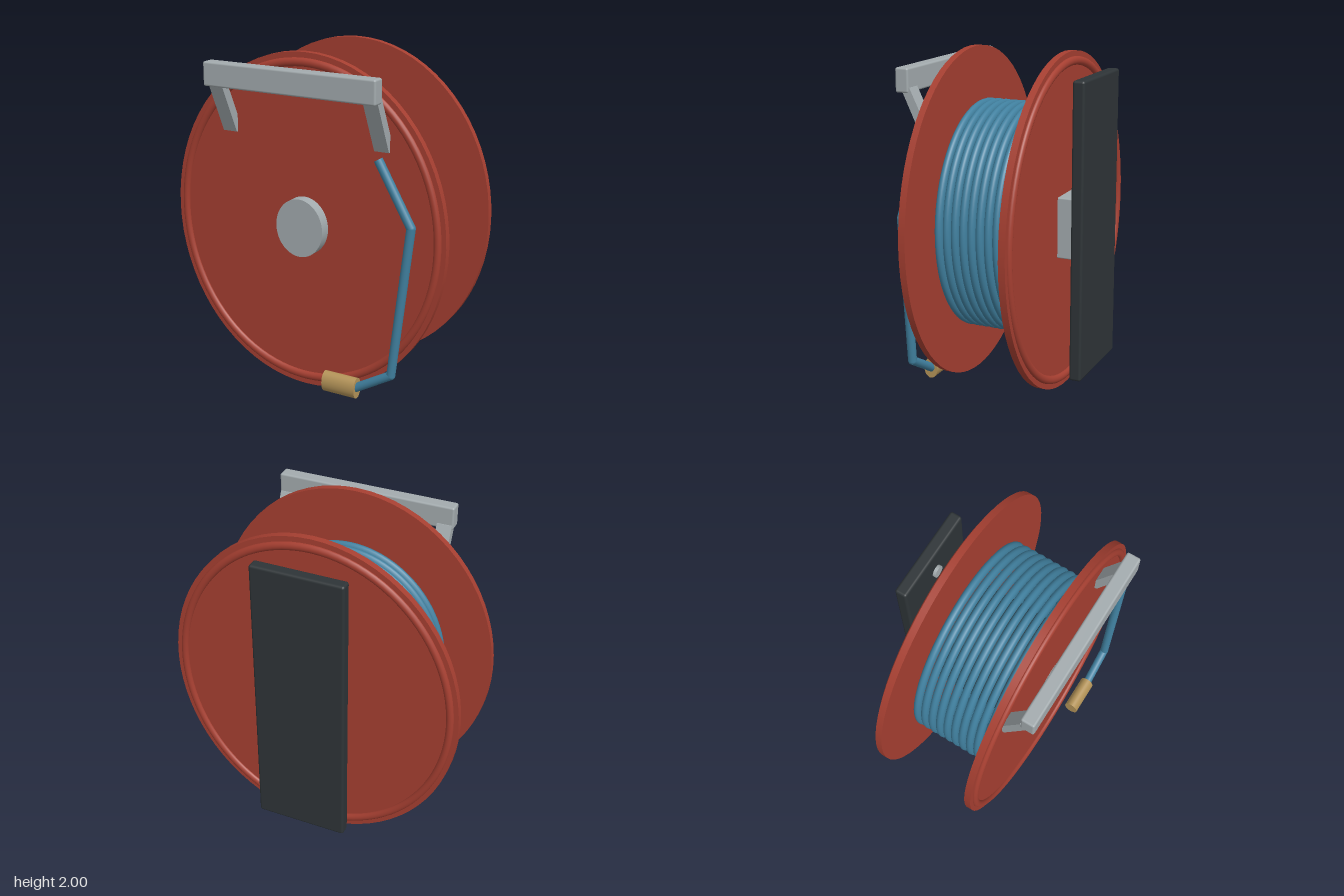
import * as THREE from 'three';
import { RoundedBoxGeometry } from 'three/addons/geometries/RoundedBoxGeometry.js';

const material = (name, color) => {
  const m = new THREE.MeshStandardMaterial({ color });
  m.name = name;
  return m;
};

export function createModel() {
  const red = material('red paint', 0xa63f31);
  const grey = material('grey metal', 0xa3abae);
  const blue = material('blue hose', 0x40809f);
  const brass = material('brass', 0xb39358);
  const dark = material('dark steel', 0x2e3437);

  const model = new THREE.Group();
  model.name = 'hoseReel';
  const SQUASH = 0.885; // the reel is slightly narrower than tall

  const add = (name, geometry, mat, x = 0, y = 0, z = 0) => {
    const mesh = new THREE.Mesh(geometry, mat);
    mesh.name = name;
    mesh.position.set(x, y, z);
    model.add(mesh);
    return mesh;
  };
  // Oval disc between two z positions
  const disc = (name, radius, z0, z1, mat, y = 1) => {
    const g = new THREE.CylinderGeometry(radius, radius, z1 - z0, 72);
    g.rotateX(Math.PI / 2).scale(SQUASH, 1, 1);
    return add(name, g, mat, 0, y, (z0 + z1) / 2);
  };
  // Oval ring whose tube is flattened along z
  const ring = (name, radius, tube, depth, z, mat) => {
    const g = new THREE.TorusGeometry(radius, tube, 14, 96);
    g.scale(SQUASH, 1, depth / tube);
    return add(name, g, mat, 0, 1, z);
  };
  const box = (name, w, h, d, r, mat, x, y, z) =>
    add(name, new RoundedBoxGeometry(w, h, d, 2, r), mat, x, y, z);

  // Reel: drum, two flanges with raised rims, and the hub
  disc('drum', 0.345, -0.285, 0.285, dark);
  disc('frontFlange', 1, 0.278, 0.318, red);
  disc('backFlange', 1, -0.318, -0.278, red);
  for (const side of [1, -1]) {
    ring(side > 0 ? 'frontRim' : 'backRim', 0.943, 0.025, 0.02, side * 0.318, red);
  }
  disc('hub', 0.172, 0.3, 0.385, grey);

  // Wound hose
  for (let i = 0; i < 10; i++) {
    ring('hoseCoil', 0.661, 0.031, 0.0235, (i - 4.5) * 0.051, blue);
  }

  // Wall mount: spacer block, plate and bolts
  box('mountBlock', 0.354, 0.36, 0.15, 0.008, grey, 0, 1.01, -0.38);
  box('wallPlate', 0.555, 1.75, 0.072, 0.015, dark, 0, 1.005, -0.474);
  for (const y of [0.31, 1.7]) disc('plateBolt', 0.04, -0.45, -0.42, grey, y);

  // Handle: cross bar on two slanted arms
  box('handleBar', 1.09, 0.14, 0.082, 0.012, grey, 0, 1.86, 0.47);
  const armShape = new THREE.Shape([
    [0.48, 1.82], [0.34, 1.52], [0.33, 1.5], [0.305, 1.5], [0.305, 1.573], [0.424, 1.82],
  ].map(([z, y]) => new THREE.Vector2(-z, y)));
  for (const x of [-0.493, 0.493]) {
    const g = new THREE.ExtrudeGeometry(armShape, { depth: 0.09, bevelEnabled: false });
    g.translate(0, 0, -0.045).rotateY(Math.PI / 2);
    add('handleArm', g, grey, x);
  }

  // Loose hose end: straight runs with rounded joints
  const path = [
    [0.505, 1.475, 0.392], [0.71, 1.12, 0.395], [0.61, 0.235, 0.408], [0.36, 0.09, 0.41],
  ].map((p) => new THREE.Vector3(...p));
  for (let i = 0; i < path.length - 1; i++) {
    const dir = path[i + 1].clone().sub(path[i]);
    const run = add('hoseTail', new THREE.CylinderGeometry(0.026, 0.026, dir.length(), 20), blue);
    run.position.copy(path[i]).addScaledVector(dir, 0.5);
    run.quaternion.setFromUnitVectors(new THREE.Vector3(0, 1, 0), dir.normalize());
    if (i > 0) add('hoseJoint', new THREE.SphereGeometry(0.026, 20, 12), blue, ...path[i].toArray());
  }

  // Brass nozzle
  const nozzle = new THREE.CylinderGeometry(0.063, 0.063, 0.212, 32);
  nozzle.rotateZ(Math.PI / 2).scale(1, 1, 0.7);
  add('nozzle', nozzle, brass, 0.289, 0.103, 0.409);

  return model;
}
